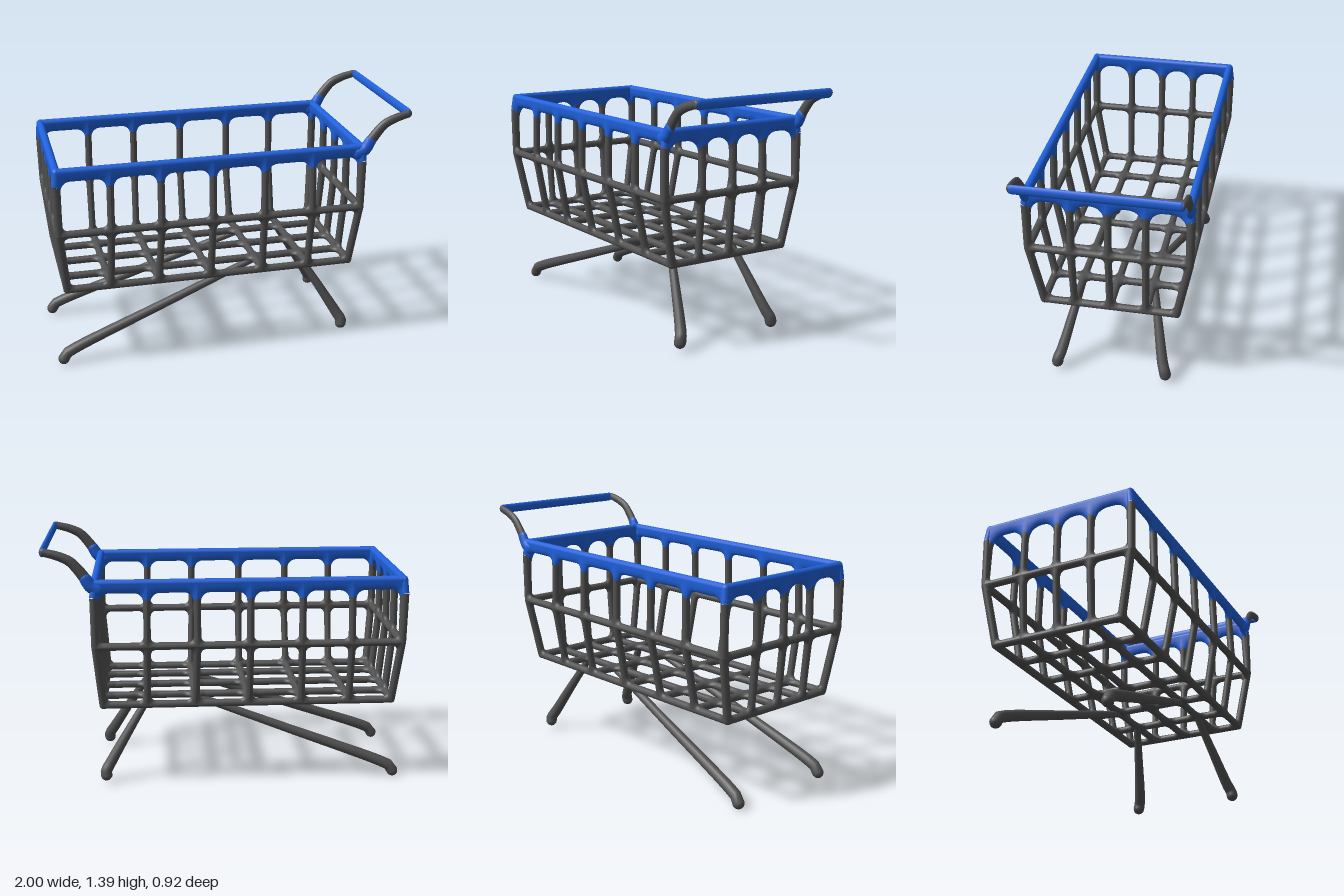
import * as THREE from 'three';

const V = (x, y, z) => new THREE.Vector3(x, y, z);
const steel = new THREE.MeshStandardMaterial({ color: 0x525252 });
steel.name = 'dark grey';
const blue = new THREE.MeshStandardMaterial({ color: 0x2062de });
blue.name = 'blue';

// Basket levels: bar positions along the length and half width at each height
const floor = { y: 0.49, xs: [-0.93, -0.69, -0.42, -0.125, 0.175, 0.445, 0.69], z: 0.368 };
const middle = { y: 0.845, xs: [-0.963, -0.685, -0.41, -0.125, 0.165, 0.44, 0.72], z: 0.435 };
const collar = { y: 1.12, xs: [-0.967, 0.722], z: 0.437 };
const rim = { y: 1.195, xs: [-0.96, -0.68, -0.41, -0.125, 0.165, 0.435, 0.715], z: 0.427 };
const acrossZ = (l) => [-l.z, -0.2, 0, 0.2, l.z];

const ARC = 8, PROFILE = 8, THICK = 0.021;

// One lattice cell: half-round bars around a rounded opening, between four corners
function cell(name, c, { side = 0.02, bottom = 0.02, top = 0.02, rBottom = 0.035, rTop = 0.035, blueStep = -1 } = {}) {
  const [p00, p10, p11, p01] = c;
  const w = (p00.distanceTo(p10) + p01.distanceTo(p11)) / 2;
  const h = (p00.distanceTo(p01) + p10.distanceTo(p11)) / 2;
  const n = p10.clone().sub(p00).cross(p01.clone().sub(p00)).normalize();
  const at = (x, y) => p00.clone().lerp(p10, x / w).lerp(p01.clone().lerp(p11, x / w), y / h);
  const pos = [], dark = [], bright = [];
  const ring = 4 * (ARC + 1), row = PROFILE + 1;
  for (let k = 0; k < 4; k++) {
    const upper = k > 1, right = k === 1 || k === 2;
    const r = upper ? rTop : rBottom;
    const a = side + r, b = (upper ? top : bottom) + r;
    const cx = right ? w - a : a, cy = upper ? h - b : b;
    for (let i = 0; i <= ARC; i++) {
      const t = Math.PI * (1 + (k + i / ARC) / 2);
      const dx = Math.cos(t), dy = Math.sin(t), m = Math.max(Math.abs(dx), Math.abs(dy));
      const outer = at(cx + dx / m * a, cy + dy / m * b);
      const inner = at(cx + dx * r, cy + dy * r);
      for (let j = 0; j <= PROFILE; j++) {
        const f = Math.PI * j / PROFILE;
        const p = outer.clone().lerp(inner, Math.sin(f)).addScaledVector(n, THICK * Math.cos(f));
        pos.push(p.x, p.y, p.z);
      }
    }
  }
  for (let i = 0; i < ring; i++) {
    const isBlue = blueStep >= 0 && i >= ring / 2 + blueStep && i < ring - 1 - blueStep;
    for (let j = 0; j < PROFILE; j++) {
      const a = i * row + j, b = ((i + 1) % ring) * row + j;
      (isBlue ? bright : dark).push(a, b, b + 1, a, b + 1, a + 1);
    }
  }
  const g = new THREE.BufferGeometry();
  g.setAttribute('position', new THREE.Float32BufferAttribute(pos, 3));
  g.setIndex([...dark, ...bright]);
  g.addGroup(0, dark.length, 0);
  g.addGroup(dark.length, bright.length, 1);
  g.computeVertexNormals();
  const mesh = new THREE.Mesh(g, [steel, blue]);
  mesh.name = name;
  return mesh;
}

// Straight bar with a ball at its start
function bar(name, p, q, r, mat) {
  const group = new THREE.Group();
  group.name = name;
  const rod = new THREE.Mesh(new THREE.CylinderGeometry(r, r, p.distanceTo(q), 14, 1, true), mat);
  rod.position.copy(p).lerp(q, 0.5);
  rod.quaternion.setFromUnitVectors(V(0, 1, 0), q.clone().sub(p).normalize());
  const ball = new THREE.Mesh(new THREE.SphereGeometry(r, 14, 10), mat);
  ball.position.copy(p);
  rod.name = name + 'Rod';
  ball.name = name + 'Joint';
  group.add(rod, ball);
  return group;
}

// Curved tube with changing radius, optionally flattened in z, with rounded ends
function taperTube(name, points, r0, r1, mat, flat = 1) {
  const group = new THREE.Group();
  group.name = name;
  const curve = new THREE.CatmullRomCurve3(points), seg = 28, sides = 14;
  const g = new THREE.TubeGeometry(curve, seg, 1, sides);
  const pos = g.attributes.position, nor = g.attributes.normal;
  for (let i = 0; i < pos.count; i++) {
    const t = Math.floor(i / (sides + 1)) / seg;
    const p = curve.getPointAt(t), r = r0 + (r1 - r0) * t;
    pos.setXYZ(i, p.x + nor.getX(i) * r, p.y + nor.getY(i) * r, p.z + nor.getZ(i) * r * flat);
  }
  const tube = new THREE.Mesh(g, mat);
  tube.name = name + 'Tube';
  group.add(tube);
  [[points[0], r0], [points[points.length - 1], r1]].forEach(([p, r]) => {
    const end = new THREE.Mesh(new THREE.SphereGeometry(r, 14, 10), mat);
    end.position.copy(p);
    end.scale.z = flat;
    end.name = name + 'End';
    group.add(end);
  });
  return group;
}

export function createModel() {
  const model = new THREE.Group();
  model.name = 'shoppingCart';
  const basket = new THREE.Group();
  basket.name = 'basket';
  model.add(basket);

  // Walls, in a lower and an upper row
  [[floor, middle, false], [middle, rim, true]].forEach(([lo, hi, isTop]) => {
    const sideOpt = isTop ? { top: 0.055, rBottom: 0.03, rTop: 0.05, blueStep: 1 } : {};
    const endOpt = isTop ? { top: 0.055, rBottom: 0.03, rTop: 0.075, blueStep: 2 } : {};
    for (const s of [1, -1]) {
      for (let i = 0; i < 6; i++) {
        basket.add(cell('sideWallCell', [
          V(lo.xs[i], lo.y, s * lo.z), V(lo.xs[i + 1], lo.y, s * lo.z),
          V(hi.xs[i + 1], hi.y, s * hi.z), V(hi.xs[i], hi.y, s * hi.z)], sideOpt));
      }
      const e = s > 0 ? 6 : 0, zl = acrossZ(lo), zh = acrossZ(hi);
      for (let i = 0; i < 4; i++) {
        basket.add(cell('endWallCell', [
          V(lo.xs[e], lo.y, zl[i]), V(lo.xs[e], lo.y, zl[i + 1]),
          V(hi.xs[e], hi.y, zh[i + 1]), V(hi.xs[e], hi.y, zh[i])], endOpt));
      }
    }
  });

  // Floor lattice
  const zs = acrossZ(floor);
  for (let i = 0; i < 6; i++) {
    for (let j = 0; j < 4; j++) {
      const [x0, x1] = [floor.xs[i], floor.xs[i + 1]];
      basket.add(cell('floorCell', [
        V(x0, floor.y, zs[j]), V(x1, floor.y, zs[j]), V(x1, floor.y, zs[j + 1]), V(x0, floor.y, zs[j + 1])],
      { rBottom: 0.045, rTop: 0.045 }));
    }
  }

  // Edge hoops and corner posts
  const corners = (l) => {
    const a = l.xs[0], b = l.xs[l.xs.length - 1];
    return [V(a, l.y, l.z), V(b, l.y, l.z), V(b, l.y, -l.z), V(a, l.y, -l.z)];
  };
  [[floor, 'floorEdge', steel], [middle, 'middleHoop', steel], [rim, 'rimBar', blue]].forEach(([l, name, mat]) => {
    const c = corners(l);
    c.forEach((p, i) => basket.add(bar(name, p, c[(i + 1) % 4], 0.021, mat)));
  });
  [[floor, middle, steel], [middle, collar, steel], [rim, collar, blue]].forEach(([lo, hi, mat]) => {
    const c = corners(hi);
    corners(lo).forEach((p, i) => basket.add(bar('cornerPost', p, c[i], 0.022, mat)));
  });

  // Handle arms and legs on both sides
  for (const s of [1, -1]) {
    const side = s > 0 ? 'left' : 'right';
    model.add(taperTube(side + 'HandleBase',
      [V(0.7, 1.165, s * 0.43), V(0.735, 1.185, s * 0.431), V(0.762, 1.225, s * 0.432)], 0.04, 0.033, blue, 0.65));
    model.add(taperTube(side + 'HandleArm',
      [V(0.755, 1.215, s * 0.432), V(0.795, 1.27, s * 0.433), V(0.84, 1.318, s * 0.433),
        V(0.9, 1.347, s * 0.432), V(0.978, 1.368, s * 0.43)], 0.032, 0.022, steel, 0.55));
    model.add(taperTube(side + 'LongLeg',
      [V(0.18, 0.482, s * 0.2), V(-0.36, 0.287, s * 0.255), V(-0.9, 0.09, s * 0.308),
        V(-0.95, 0.064, s * 0.313), V(-0.968, 0.034, s * 0.315)], 0.02, 0.032, steel));
    model.add(taperTube(side + 'ShortLeg',
      [V(0.43, 0.49, s * 0.2), V(0.55, 0.3, s * 0.246), V(0.665, 0.11, s * 0.293),
        V(0.688, 0.07, s * 0.308), V(0.687, 0.048, s * 0.312)], 0.02, 0.033, steel));
  }

  // Push bar
  const grip = new THREE.Mesh(new THREE.CapsuleGeometry(0.026, 0.83, 6, 16), blue);
  grip.name = 'handleBar';
  grip.rotation.x = Math.PI / 2;
  grip.scale.x = 0.55;
  grip.position.set(0.986, 1.366, 0);
  model.add(grip);

  return model;
}
